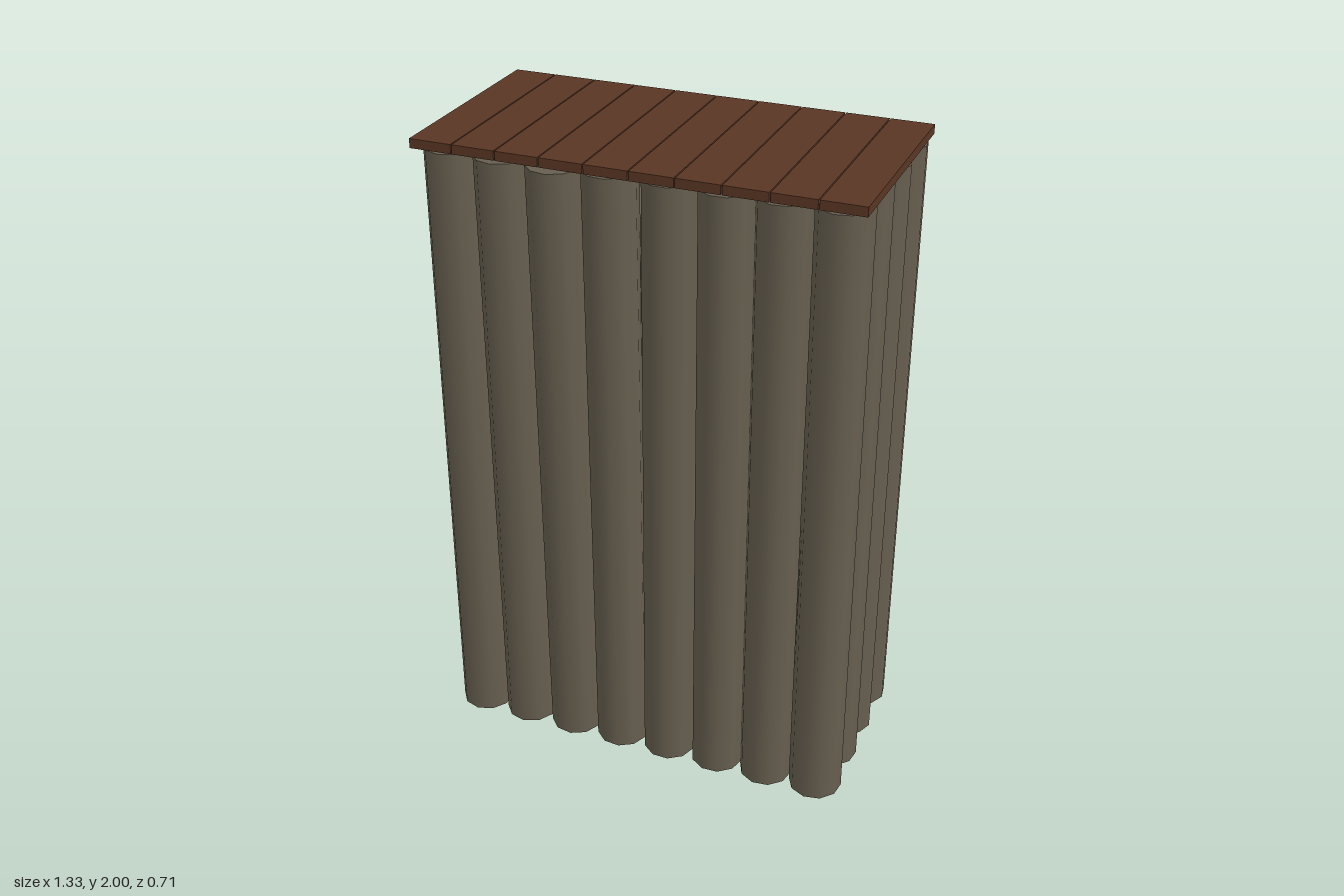
import * as THREE from 'three';

export function createModel() {
  const model = new THREE.Group();
  const logMat = new THREE.MeshStandardMaterial({ color: 0x665e4f });
  logMat.name = 'weathered log';
  const plankMat = new THREE.MeshStandardMaterial({ color: 0x5a3624 });
  plankMat.name = 'brown plank';

  const bottom = 0.005, top = 1.965, pitch = 0.166;
  const logGeo = new THREE.CylinderGeometry(0.081, 0.083, top - bottom, 10);

  // One upright log, leaning from its foot (x, z) to its head (x + dx, z + dz)
  function addLog(name, x, z, dx, dz, spin) {
    const foot = new THREE.Vector3(x, bottom, z);
    const head = new THREE.Vector3(x + dx, top, z + dz);
    const log = new THREE.Mesh(logGeo, logMat);
    log.name = name;
    log.position.addVectors(foot, head).multiplyScalar(0.5);
    log.quaternion.setFromUnitVectors(new THREE.Vector3(0, 1, 0), head.sub(foot).normalize());
    log.rotateY(spin);
    model.add(log);
  }

  // Front and back rows, eight logs each, with their sideways and outward leans
  const leanX = [0.005, 0.003, 0.003, -0.006, 0.004, 0.002, 0, -0.002];
  const frontLean = [0, 0.012, 0.024, 0, -0.003, 0.002, 0, 0];
  const backLean = [0.005, 0.014, 0.028, 0.006, 0, 0, 0.002, 0.007];
  for (let i = 0; i < 8; i++) {
    const x = (i - 3.5) * pitch;
    addLog('frontLog', x, 0.249, leanX[i], frontLean[i], i * 0.7);
    addLog('backLog', x, -0.249, leanX[7 - i] * 0.6, -backLean[i], i * 1.1);
  }

  // Two middle logs on each end
  for (const side of [-1, 1]) {
    for (const z of [-0.083, 0.083]) {
      addLog('endLog', side * 0.581, z, z < 0 ? 0.002 : -0.002, -0.004, z * 9 + side);
    }
  }

  // Solid core between the logs
  const core = new THREE.Mesh(new THREE.BoxGeometry(1.0, 1.8, 0.335), logMat);
  core.name = 'core';
  core.position.y = 0.9;
  model.add(core);

  // Deck of ten planks
  const plankGeo = new THREE.BoxGeometry(0.129, 0.028, 0.664);
  for (let i = 0; i < 10; i++) {
    const plank = new THREE.Mesh(plankGeo, plankMat);
    plank.name = 'deckPlank';
    plank.position.set((i - 4.5) * 0.1327, 1.986, 0);
    model.add(plank);
  }
  return model;
}
